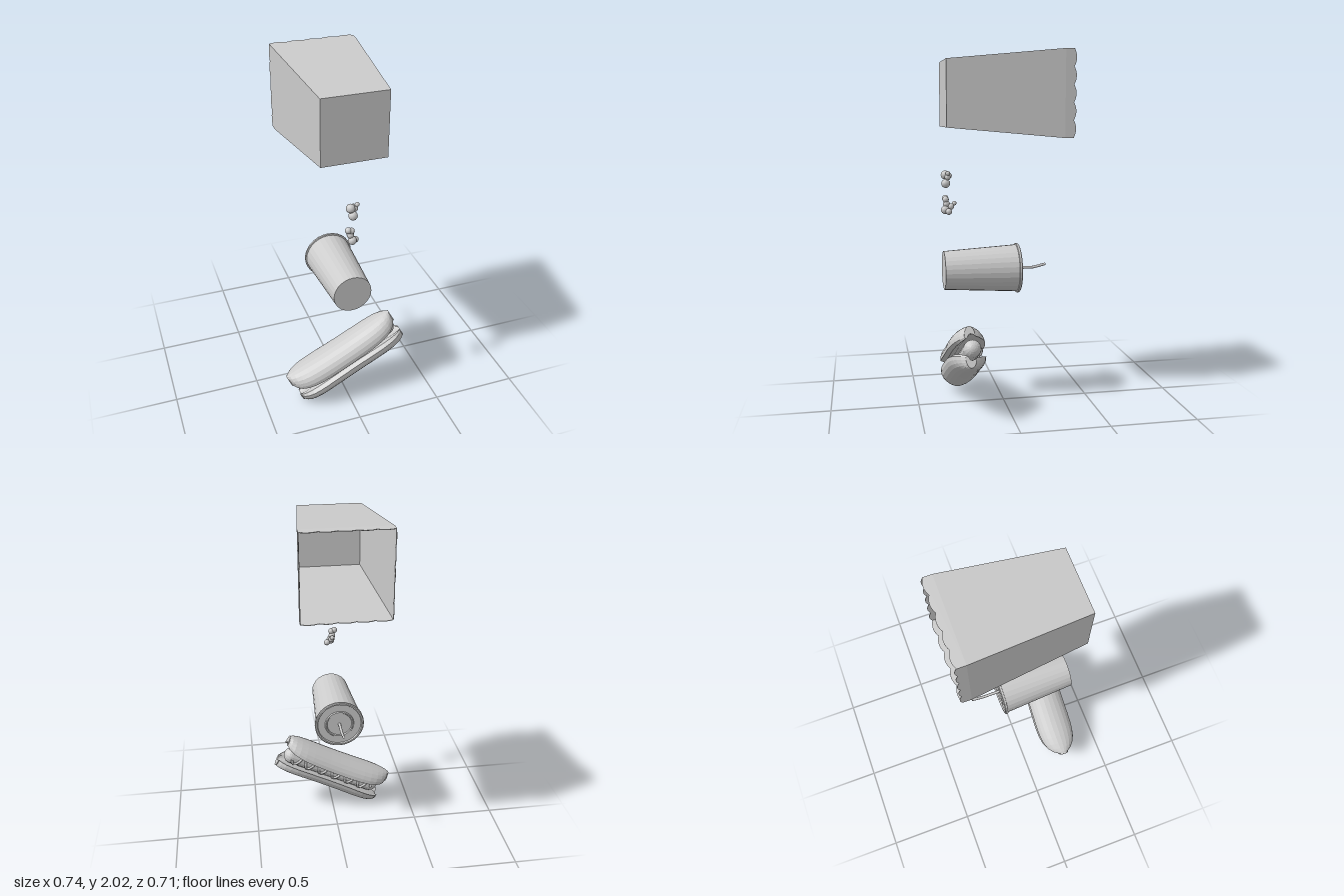
import * as THREE from 'three';

const flat = new THREE.MeshStandardMaterial({ color: 0xcccccc, flatShading: true, side: THREE.DoubleSide });
const smooth = new THREE.MeshStandardMaterial({ color: 0xcccccc, side: THREE.DoubleSide });

function add(parent, name, geometry, material = flat) {
  const mesh = new THREE.Mesh(geometry, material);
  mesh.name = name;
  parent.add(mesh);
  return mesh;
}

function makeGroup(name, x, y, z) {
  const group = new THREE.Group();
  group.name = name;
  group.position.set(x, y, z);
  return group;
}

// Open square carton with a flared body and a scalloped upright rim
function createCarton() {
  const base = 0.18, top = 0.237, bend = 0.635, valley = 0.682, peak = 0.695;
  const carton = makeGroup('popcornBox', 0, 1.765, 0.34);
  carton.rotation.x = -Math.PI / 2;

  const body = new THREE.Shape([[-base, 0], [base, 0], [top, bend], [-top, bend]].map(p => new THREE.Vector2(...p)));
  const rim = new THREE.Shape();
  rim.moveTo(-top, bend);
  rim.lineTo(top, bend);
  rim.lineTo(top, valley);
  const step = top * 2 / 5;
  for (let i = 0; i < 5; i++) {
    const x = top - i * step;
    rim.quadraticCurveTo(x - step / 2, 2 * peak - valley, x - step, valley);
  }

  for (let side = 0; side < 4; side++) {
    for (const [name, shape] of [['boxWall', body], ['boxRim', rim]]) {
      const geo = new THREE.ExtrudeGeometry(shape, { depth: 0.003, bevelEnabled: false, curveSegments: 8 });
      const p = geo.attributes.position;
      // Lean the wall outward up to the bend
      for (let i = 0; i < p.count; i++) {
        const lean = Math.min(p.getY(i) / bend, 1);
        p.setZ(i, p.getZ(i) - 0.003 + base + (top - base) * lean);
      }
      geo.rotateY(side * Math.PI / 2);
      geo.computeVertexNormals();
      add(carton, name, geo);
    }
  }
  add(carton, 'boxBase', new THREE.BoxGeometry(base * 2, 0.003, base * 2).translate(0, 0.0015, 0));
  return carton;
}

// Drink cup with lid and bent straw
function createCup() {
  const cup = makeGroup('drinkCup', 0, 0.775, 0.345);
  cup.rotation.x = -Math.PI / 2;
  const lathe = points => new THREE.LatheGeometry(points.map(p => new THREE.Vector2(...p)), 28);
  add(cup, 'cupBody', lathe([[0, 0], [0.11, 0], [0.136, 0.42]]));
  add(cup, 'cupLid', lathe([
    [0.135, 0.415], [0.143, 0.417], [0.143, 0.428], [0.138, 0.432], [0.13, 0.432], [0.126, 0.424],
    [0.085, 0.424], [0.081, 0.431], [0.075, 0.431], [0.071, 0.424], [0, 0.424]
  ]));
  const path = new THREE.CatmullRomCurve3([
    new THREE.Vector3(0, 0.41, 0), new THREE.Vector3(0, 0.47, 0), new THREE.Vector3(0, 0.52, 0),
    new THREE.Vector3(0, 0.535, 0.003), new THREE.Vector3(0, 0.565, 0.01), new THREE.Vector3(0, 0.594, 0.017)
  ]);
  add(cup, 'straw', new THREE.TubeGeometry(path, 16, 0.008, 10), smooth);
  return cup;
}

// One bun half: a crescent section swept along x with rounded ends
function bunGeometry(sign) {
  const section = [];
  for (let i = 0; i <= 12; i++) {
    const a = -0.12 + i / 12 * (Math.PI + 0.12);
    section.push([0.03 + 0.085 * Math.sin(a), 0.112 * Math.cos(a)]);
  }
  section.push([0.04, -0.09], [0.046, -0.05], [0.05, -0.015], [0.042, 0.02], [0.02, 0.05], [0.008, 0.085]);
  const shape = new THREE.Shape(section.map(([v, z]) => new THREE.Vector2(-z, sign * v)));
  const geo = new THREE.ExtrudeGeometry(shape, { depth: 2, steps: 18, bevelEnabled: false });
  geo.translate(0, 0, -1).rotateY(Math.PI / 2);
  const p = geo.attributes.position;
  for (let i = 0; i < p.count; i++) {
    const u = Math.sin(p.getX(i) * Math.PI / 2);
    const s = Math.max(Math.sqrt(Math.max(1 - Math.abs(u) ** 5, 0)), 0.28);
    const v = 0.075 + (p.getY(i) * sign - 0.075) * (0.5 + 0.5 * s) + 0.014 * u * u;
    p.setXYZ(i, u * 0.358, sign * v, p.getZ(i) * s * (1 - 0.06 * u));
  }
  geo.computeVertexNormals();
  return geo;
}

function createHotDog() {
  const dog = makeGroup('hotDog', 0, 0.25, 0.24);
  dog.rotation.z = 0.48;
  add(dog, 'upperBun', bunGeometry(1));
  add(dog, 'lowerBun', bunGeometry(-1));
  const sausage = add(dog, 'sausage', new THREE.CapsuleGeometry(0.05, 0.565, 6, 14));
  sausage.rotation.z = Math.PI / 2;
  sausage.position.set(0.012, 0, -0.018);
  // Sauce squiggle hugging the exposed side of the sausage
  const points = [];
  for (let i = 0; i <= 48; i++) {
    const a = 0.65 * Math.sin(i / 48 * Math.PI * 12);
    points.push(new THREE.Vector3(-0.27 + 0.565 * i / 48, 0.053 * Math.sin(a), -0.018 - 0.053 * Math.cos(a)));
  }
  add(dog, 'sauce', new THREE.TubeGeometry(new THREE.CatmullRomCurve3(points), 120, 0.008, 6), smooth);
  return dog;
}

// Popped kernels: clusters of lumps given as x, y, z, radius
function createKernel(y, lumps) {
  const kernel = makeGroup('popcornKernel', 0, y, 0.325);
  for (const [x, dy, z, r] of lumps) {
    add(kernel, 'kernelLump', new THREE.SphereGeometry(r, 12, 8), smooth).position.set(x, dy, z);
  }
  return kernel;
}

export function createModel() {
  const model = new THREE.Group();
  model.name = 'movieSnacks';
  model.add(
    createCarton(),
    createCup(),
    createHotDog(),
    createKernel(1.295, [
      [-0.015, 0.023, 0.005, 0.025], [0, -0.024, 0.004, 0.025], [0.013, 0.012, -0.006, 0.017],
      [0.025, 0.034, -0.006, 0.013], [0.008, 0.02, -0.014, 0.016]
    ]),
    createKernel(1.15, [
      [-0.026, 0.036, 0.005, 0.018], [-0.008, 0.03, 0.004, 0.018], [-0.012, 0.004, 0, 0.02],
      [-0.004, -0.028, 0.008, 0.024], [0.02, -0.036, -0.01, 0.018], [-0.006, -0.01, -0.025, 0.018],
      [-0.008, 0.008, -0.044, 0.013]
    ])
  );
  return model;
}
